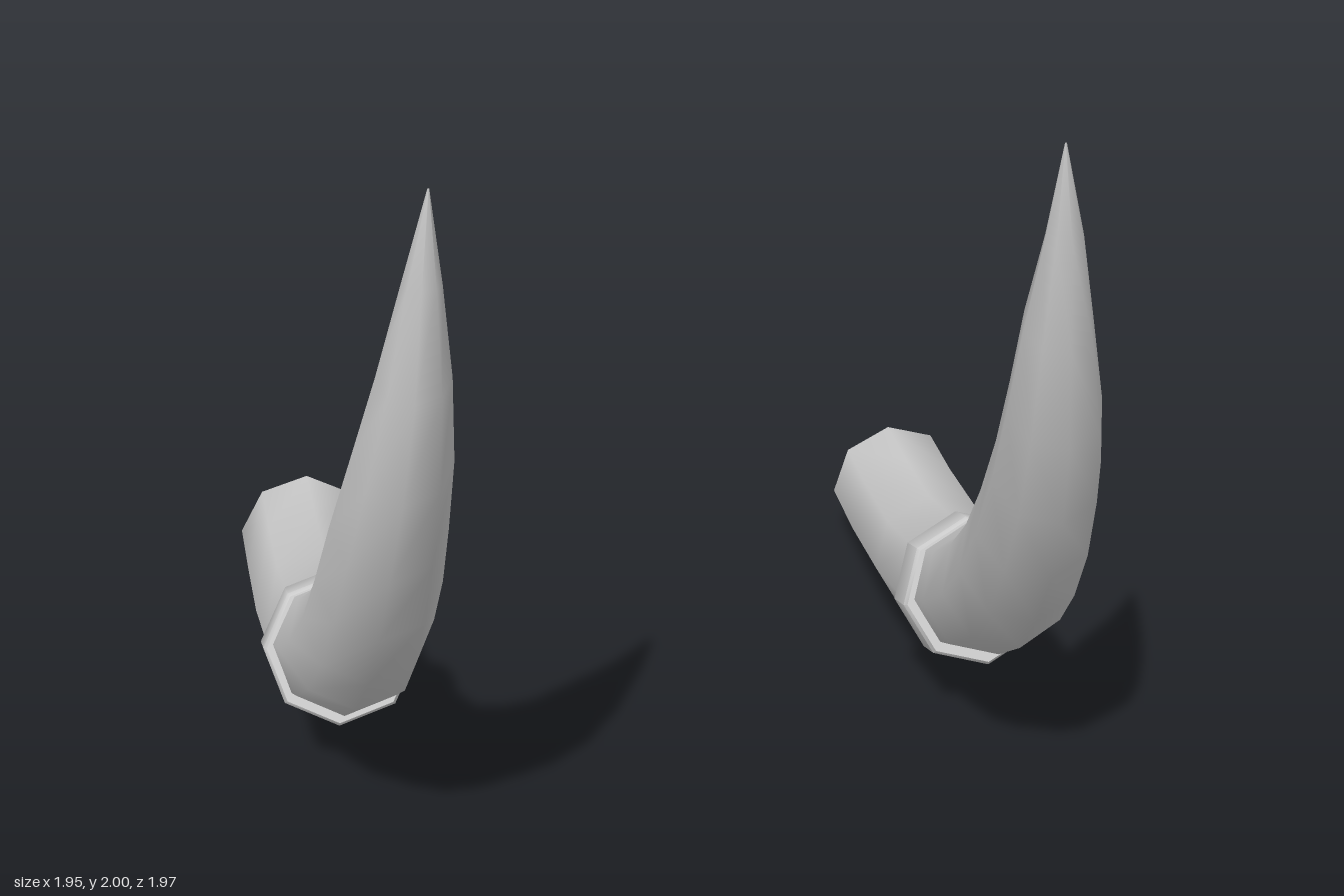
import * as THREE from 'three';
import { toCreasedNormals } from 'three/addons/utils/BufferGeometryUtils.js';

const SIDES = 8;
const TWIST = 0.1;

// Tusk cross-sections from root to tip:
// [lower z, lower y, upper z, upper y, inner x, outer x]
const TUSK = [
  [-0.985, 0.0, -0.985, 0.33, 0.64, 0.965],
  [-0.73, 0.013, -0.78, 0.34, 0.638, 0.965],
  [-0.42, 0.06, -0.52, 0.37, 0.635, 0.965],
  [-0.12, 0.14, -0.26, 0.45, 0.63, 0.96],
  [0.14, 0.28, -0.02, 0.56, 0.622, 0.947],
  [0.36, 0.43, 0.16, 0.68, 0.616, 0.93],
  [0.53, 0.60, 0.32, 0.82, 0.61, 0.907],
  [0.68, 0.80, 0.46, 0.98, 0.603, 0.885],
  [0.80, 1.01, 0.59, 1.17, 0.60, 0.857],
  [0.90, 1.25, 0.71, 1.37, 0.596, 0.815],
  [0.96, 1.51, 0.80, 1.57, 0.603, 0.762],
  [0.985, 1.78, 0.895, 1.77, 0.624, 0.71],
  [0.972, 2.0, 0.968, 2.0, 0.648, 0.652],
];

// Skins octagonal sections; side = -1 mirrors the shape across x
function loft(sections, side) {
  const positions = [], index = [];
  sections.forEach(([lz, ly, uz, uy, x0, x1], i) => {
    for (let k = 0; k < SIDES; k++) {
      const t = (k / SIDES) * Math.PI * 2 + TWIST;
      const s = Math.sin(t), c = -Math.cos(t);
      positions.push(
        side * ((x0 + x1) / 2 + ((x1 - x0) / 2) * s),
        (ly + uy) / 2 + ((uy - ly) / 2) * c,
        (lz + uz) / 2 + ((uz - lz) / 2) * c
      );
      if (i === sections.length - 1) continue;
      const a = i * SIDES + k, b = i * SIDES + ((k + 1) % SIDES);
      const d = a + SIDES, e = b + SIDES;
      if (side > 0) index.push(a, b, d, b, e, d);
      else index.push(a, d, b, b, d, e);
    }
  });
  const geometry = new THREE.BufferGeometry();
  geometry.setAttribute('position', new THREE.Float32BufferAttribute(positions, 3));
  geometry.setIndex(index);
  geometry.computeVertexNormals();
  return geometry;
}

// Tilted collar: [offset along the tusk, radius] profile turned into sections
function bandSections() {
  const tilt = 0.365, sin = Math.sin(tilt), cos = Math.cos(tilt);
  const cx = 0.787, cy = 0.345, cz = -0.08;
  const profile = [[-0.06, 0.15], [-0.06, 0.18], [-0.05, 0.188], [0.05, 0.188], [0.06, 0.18], [0.06, 0.15]];
  return profile.map(([d, r]) => {
    const z = cz + d * cos, y = cy + d * sin;
    return [z + r * sin, y - r * cos, z - r * sin, y + r * cos, cx - r, cx + r];
  });
}

export function createModel() {
  const group = new THREE.Group();
  group.name = 'tuskPair';
  const material = new THREE.MeshStandardMaterial({ color: 0xcccccc, side: THREE.DoubleSide });

  for (const [label, side] of [['left', 1], ['right', -1]]) {
    // Hollow curved tusk, open at the root
    const tusk = new THREE.Mesh(loft(TUSK, side), material);
    tusk.name = label + 'Tusk';

    // Collar around the tusk
    const band = new THREE.Mesh(toCreasedNormals(loft(bandSections(), side), 0.9), material);
    band.name = label + 'Band';

    group.add(tusk, band);
  }
  return group;
}
